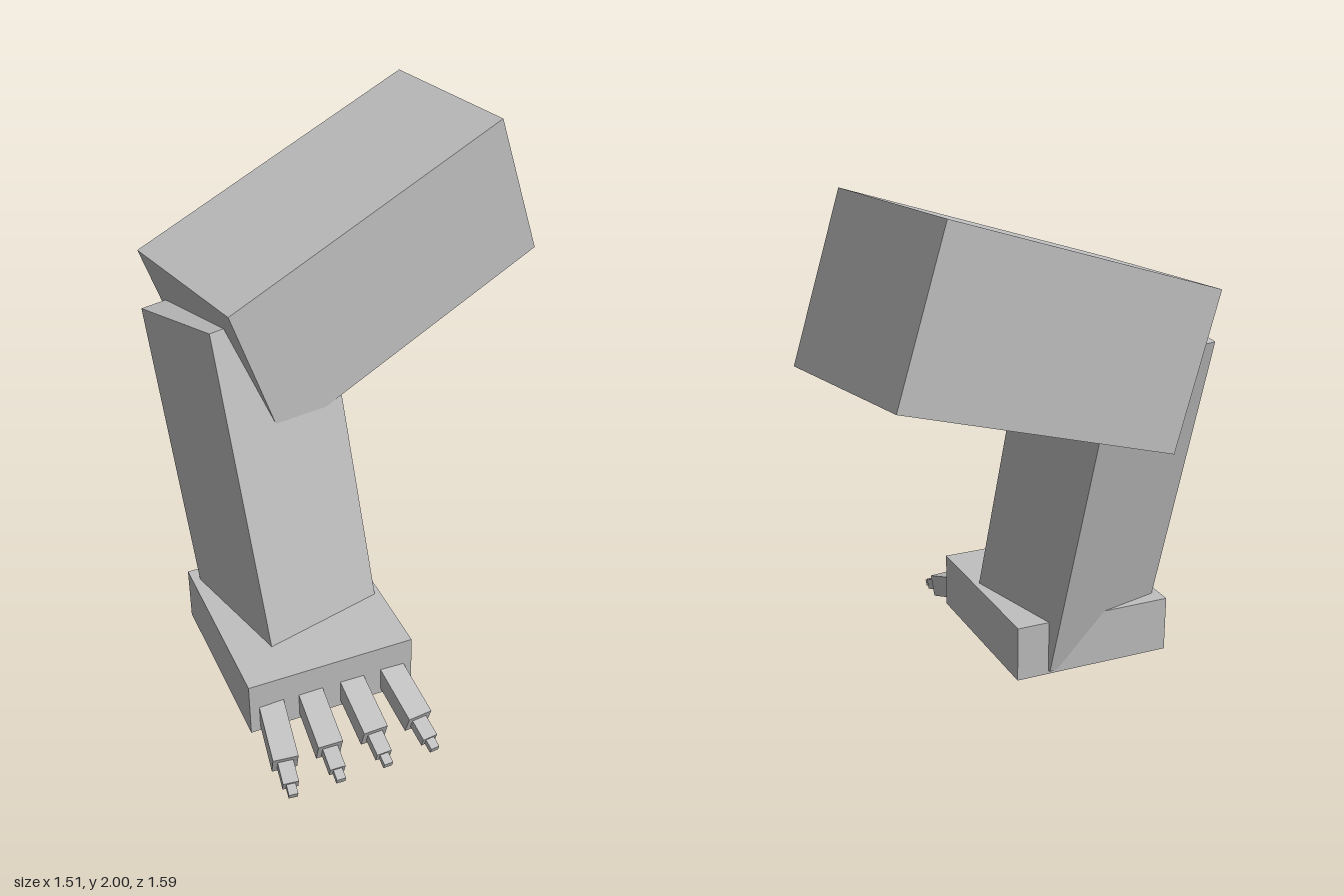
import * as THREE from 'three';

const grey = new THREE.MeshStandardMaterial({ color: 0xc0c0c0 });
grey.name = 'plain grey';

// Box with a centre, a size and a yaw / tilt / roll in degrees (yaw applied last)
function block(name, size, centre, tilt = 0, yaw = 0, roll = 0) {
  const mesh = new THREE.Mesh(new THREE.BoxGeometry(...size), grey);
  mesh.name = name;
  mesh.position.set(...centre);
  const rad = THREE.MathUtils.degToRad;
  mesh.rotation.set(rad(tilt), rad(yaw), rad(roll), 'YXZ');
  return mesh;
}

// Toe: three shrinking segments along local +z, as [start, end, width, height]
const toeSegments = [
  [-0.04, 0.202, 0.094, 0.089],
  [0.19, 0.286, 0.058, 0.044],
  [0.27, 0.327, 0.034, 0.027],
];
function toe(x, yaw) {
  const group = new THREE.Group();
  group.name = 'toe';
  toeSegments.forEach(([start, end, w, h], i) => {
    group.add(block('toeSegment' + (i + 1), [w, h, end - start], [0, 0, (start + end) / 2]));
  });
  group.position.set(x, 0.13, 0.485);
  group.rotation.set(THREE.MathUtils.degToRad(20), THREE.MathUtils.degToRad(yaw), 0, 'YXZ');
  return group;
}

export function createModel() {
  const model = new THREE.Group();
  model.name = 'leg';

  // Main limb
  model.add(block('foot', [0.645, 0.222, 0.713], [-0.397, 0.174, 0.127]));
  model.add(block('lowerLeg', [0.485, 1.35, 0.48], [-0.423, 0.788, -0.103], -13.3, 14.4));
  model.add(block('upperLeg', [1.254, 0.607, 0.606], [0.0075, 1.5125, -0.34], 0, 13.5, 18.8));

  // Four splayed toes
  [[-0.636, -7], [-0.482, -1.7], [-0.317, 2], [-0.154, 6.5]].forEach(([x, yaw]) => model.add(toe(x, yaw)));

  return model;
}
